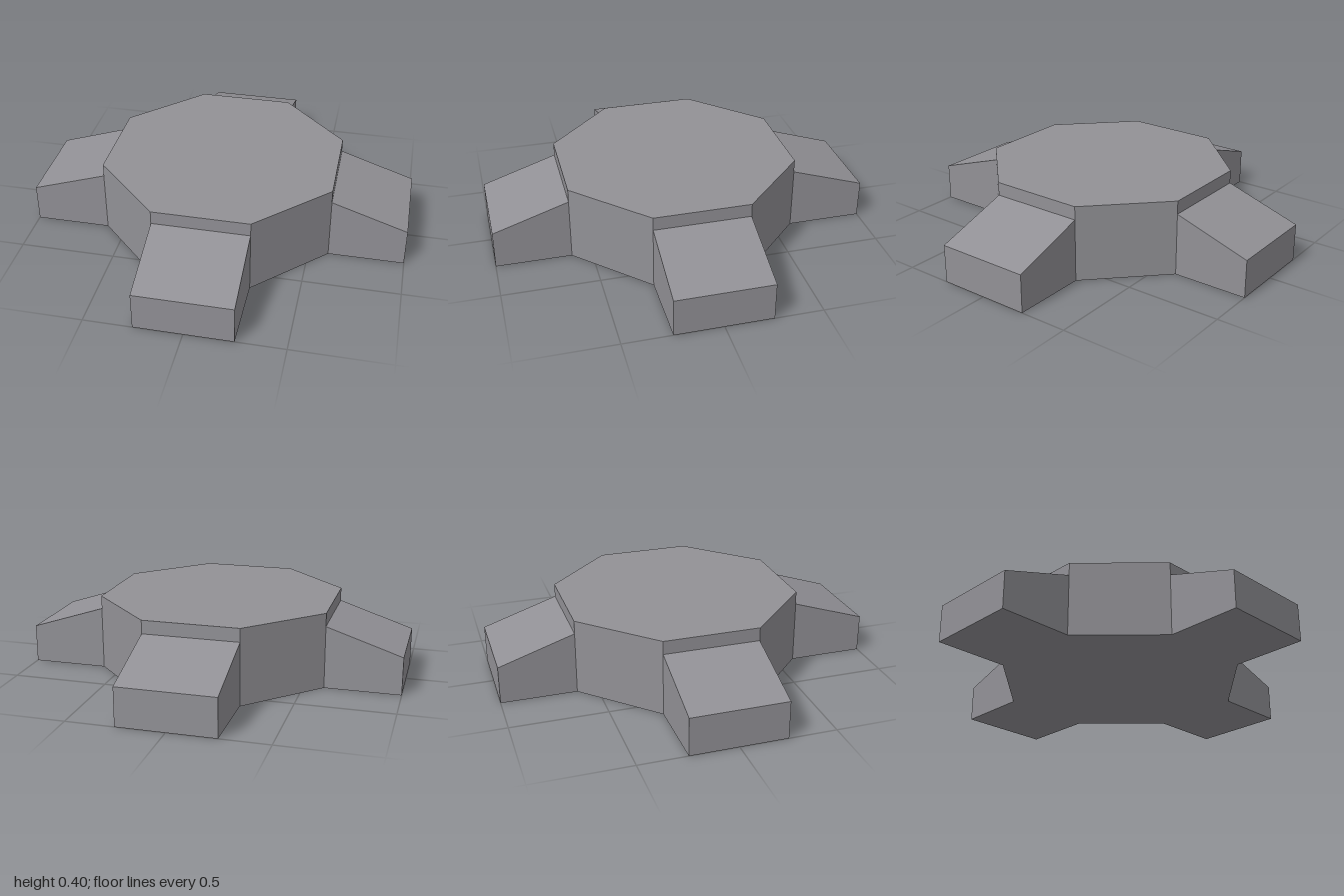
import * as THREE from 'three';

const HALF = 0.25;   // half the width of a ramp
const INNER = 0.605; // distance from centre to the hub's straight sides

const shapeOf = (points) => new THREE.Shape(points.map(([x, y]) => new THREE.Vector2(x, y)));
const extrude = (points, depth) =>
  new THREE.ExtrudeGeometry(shapeOf(points), { depth, bevelEnabled: false });

export function createModel() {
  const model = new THREE.Group();
  model.name = 'rampPlatform';
  const grey = new THREE.MeshStandardMaterial({ color: 0x929196, flatShading: true });
  grey.name = 'stoneGrey';

  // Octagonal hub with cut corners
  const hubGeometry = extrude([
    [INNER, -HALF], [INNER, HALF], [HALF, INNER], [-HALF, INNER],
    [-INNER, HALF], [-INNER, -HALF], [-HALF, -INNER], [HALF, -INNER],
  ], 0.4);
  hubGeometry.rotateX(-Math.PI / 2);
  const hub = new THREE.Mesh(hubGeometry, grey);
  hub.name = 'hub';
  model.add(hub);

  // Four sloping ramps, one on each side
  const rampGeometry = extrude([[INNER, 0], [1, 0], [1, 0.2], [INNER, 0.33]], HALF * 2);
  rampGeometry.translate(0, 0, -HALF);
  ['leftRamp', 'backRamp', 'rightRamp', 'frontRamp'].forEach((name, i) => {
    const ramp = new THREE.Mesh(rampGeometry, grey);
    ramp.name = name;
    ramp.rotation.y = i * Math.PI / 2;
    model.add(ramp);
  });

  return model;
}
